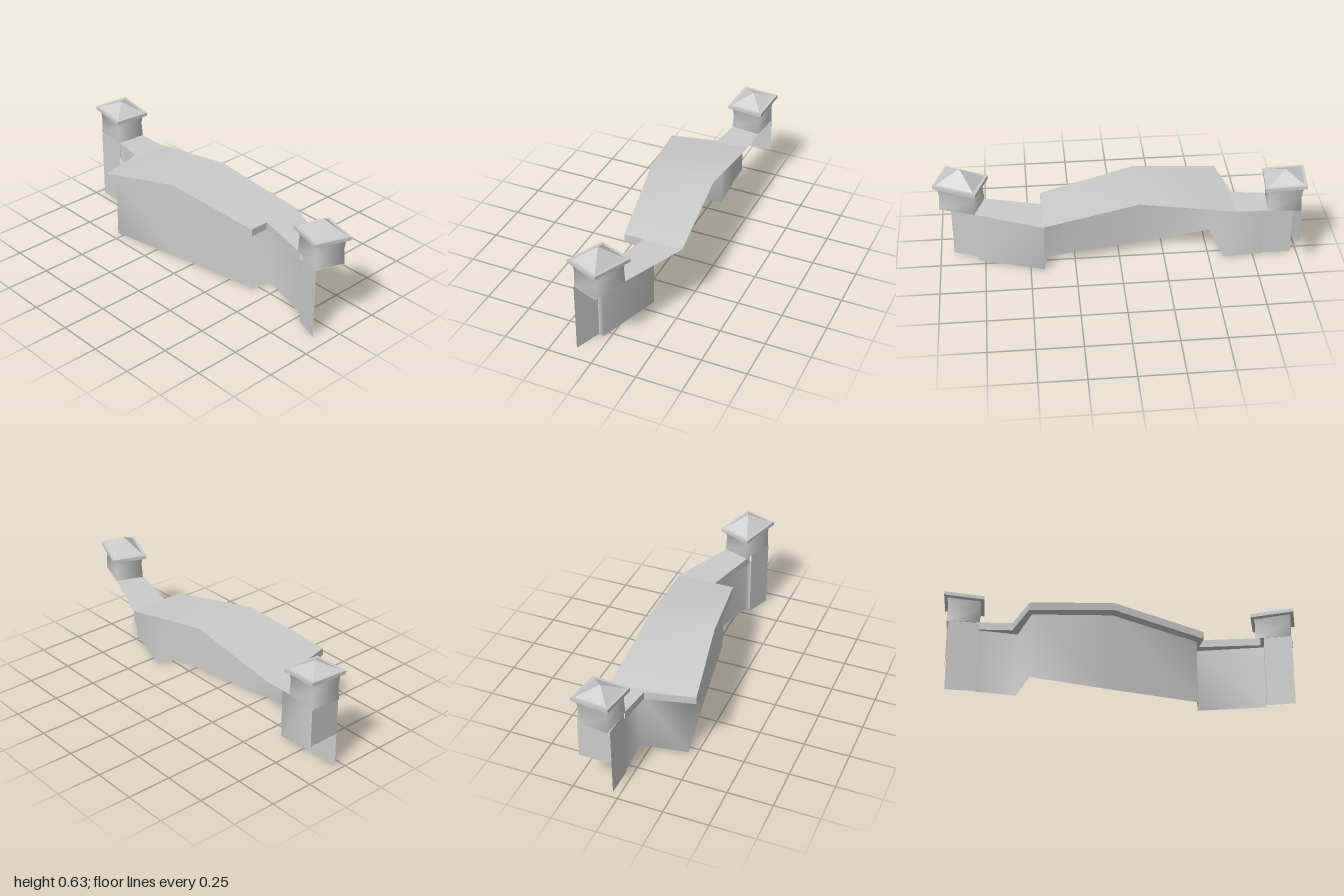
import * as THREE from 'three';

const smooth = new THREE.MeshStandardMaterial({ color: 0xcccccc, side: THREE.DoubleSide });
const flat = new THREE.MeshStandardMaterial({ color: 0xcccccc, side: THREE.DoubleSide, flatShading: true });

// Skin a surface across rows of [x, y, z] points
function loft(name, rows, material, closed = false) {
  const n = rows[0].length;
  const index = [];
  for (let r = 0; r < rows.length - 1; r++) {
    for (let i = 0; i < (closed ? n : n - 1); i++) {
      const a = r * n + i, b = r * n + (i + 1) % n;
      index.push(a, b, b + n, a, b + n, a + n);
    }
  }
  const geometry = new THREE.BufferGeometry();
  geometry.setAttribute('position', new THREE.Float32BufferAttribute(rows.flat(2), 3));
  geometry.setIndex(index);
  geometry.computeVertexNormals();
  const mesh = new THREE.Mesh(geometry, material);
  mesh.name = name;
  return mesh;
}

// Upright sheet following [x, z, top] points
function wall(name, path, bottom = 0) {
  const row = (f) => path.map(([x, z, top]) => [x, bottom + (top - bottom) * f, z]);
  return loft(name, [row(0), row(1)], smooth);
}

// Small turret: square body, tilted overhanging rim and pyramid cap
function tower(name, x, z, angle, w, d, rim, apex, tilt) {
  const ring = (grow, y, slope) => [[-1, 1], [1, 1], [1, -1], [-1, -1]].map(([sx, sz]) => {
    const pz = sz * (d + grow);
    return [sx * (w + grow), y + slope * pz, pz];
  });
  const group = new THREE.Group();
  group.name = name;
  group.position.set(x, 0, z);
  group.rotation.y = angle;
  group.add(
    loft('towerBody', [ring(0, 0.405, 0), ring(-0.004, 0.49, 0), ring(0.002, rim, tilt)], smooth, true),
    loft('towerCap', [
      ring(0, rim - 0.006, tilt), ring(0.02, rim, tilt), ring(0.02, rim + 0.02, tilt),
      ring(0.004, rim + 0.02, tilt), Array(4).fill([0, apex, 0]),
    ], flat, true),
  );
  return group;
}

export function createModel() {
  const model = new THREE.Group();

  // Roof stations: left x, z, right x, z, height
  const stations = [
    [-0.12, 0.925, 0.03, 0.98, 0.405],
    [-0.06, 0.76, 0.10, 0.78, 0.405],
    [0.03, 0.43, 0.25, 0.43, 0.405],
    [-0.08, 0.43, 0.25, 0.43, 0.405],
    [-0.17, -0.09, 0.205, -0.09, 0.49],
    [-0.255, -0.56, 0.20, -0.62, 0.405],
    [0.01, -0.62, 0.20, -0.62, 0.405],
    [0.035, -0.80, 0.20, -0.79, 0.405],
    [0.04, -0.965, 0.22, -0.965, 0.405],
  ];
  model.add(loft('roof', [
    stations.map(([x, z, , , y]) => [x, y, z]),
    stations.map(([, , x, z, y]) => [x, y, z]),
  ], smooth));

  // Main wall, set in behind the eave, as x, z, top
  const mainWall = [
    [-0.035, 0.785, 0.362],
    [0.085, 0.425, 0.362],
    [-0.035, 0.40, 0.362],
    [-0.118, -0.09, 0.44],
    [-0.203, -0.54, 0.362],
    [0.058, -0.585, 0.362],
    [0.045, -0.80, 0.362],
  ];
  model.add(wall('mainWall', [[-0.065, 0.78, 0.362], ...mainWall]));

  // Fascia below the outer eave and soffit back to the wall
  const eave = stations.slice(1, 8);
  const lip = eave.map(([x, z, , , y]) => [x, y - 0.043, z]);
  model.add(
    loft('fascia', [eave.map(([x, z, , , y]) => [x, y, z]), lip], flat),
    loft('soffit', [lip, mainWall.map(([x, z, y]) => [x, y, z])], flat),
  );

  // Walls carrying the towers
  model.add(
    wall('frontTowerWall', [[-0.12, 0.925, 0.405], [-0.065, 0.78, 0.405]]),
    wall('backTowerWall', [[0.04, -0.80, 0.405], [0.04, -0.965, 0.405]]),
    wall('backEndPanel', [[0.04, -0.965, 0.405], [0.22, -0.965, 0.405]], 0.195),
  );

  // Towers
  model.add(
    tower('frontTower', -0.01, 0.855, -0.35, 0.08, 0.1, 0.538, 0.633, 0.08),
    tower('backTower', 0.125, -0.88, -0.09, 0.085, 0.09, 0.545, 0.616, -0.09),
  );
  return model;
}
